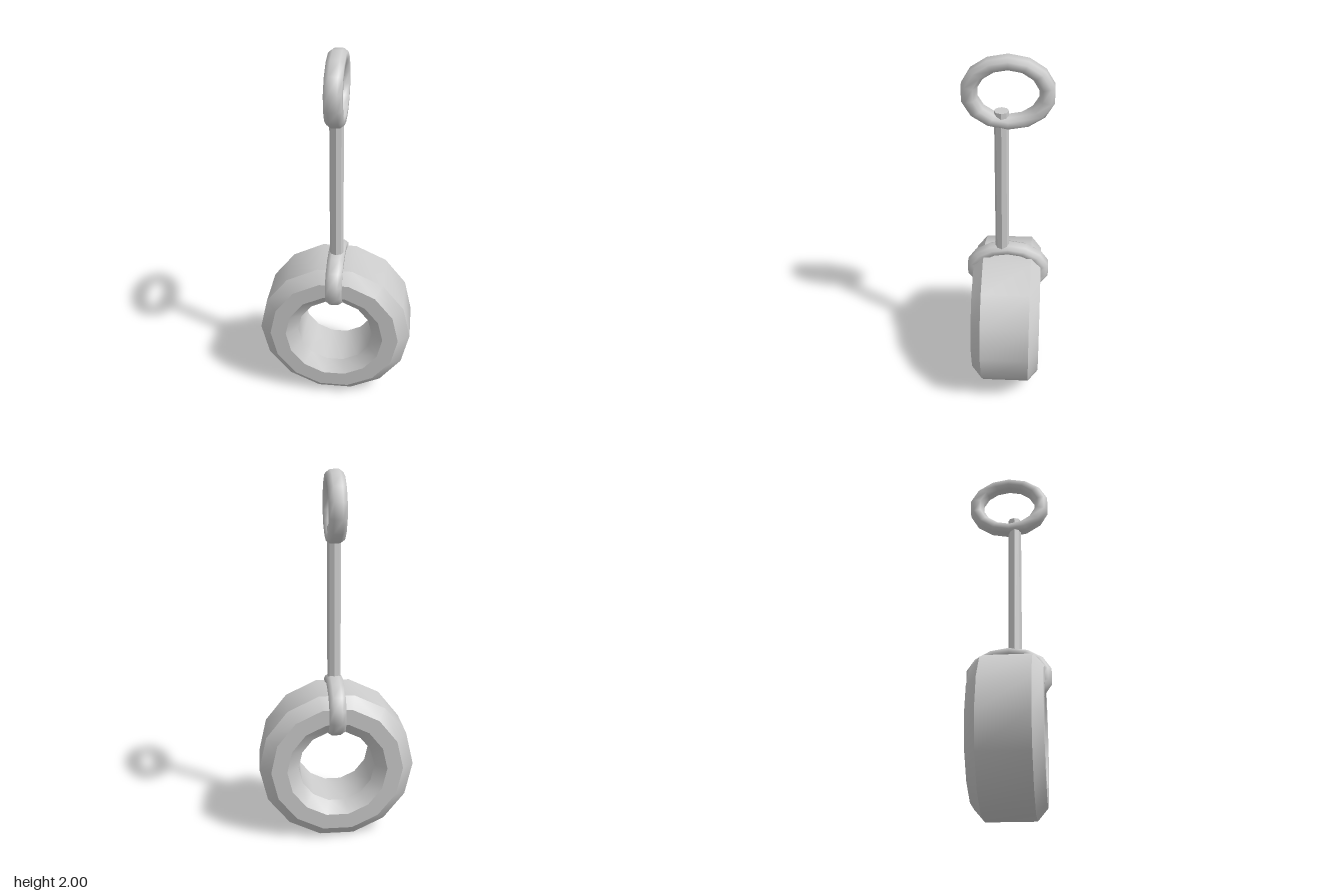
import * as THREE from 'three';
import { toCreasedNormals } from 'three/addons/utils/BufferGeometryUtils.js';

const SIDES = 14;

// Ring around the y axis, revolved from an eight-cornered section.
// r: middle radius, a/b: radial and axial half sizes, fa/fb: half sizes of the flats.
function bevelledRing(r, a, b, fa, fb) {
  const section = [
    [a, -fb], [a, fb], [fa, b], [-fa, b], [-a, fb], [-a, -fb], [-fa, -b], [fa, -b], [a, -fb],
  ].map(([x, y]) => new THREE.Vector2(r + x, y));
  return new THREE.LatheGeometry(section, SIDES, Math.PI / 2);
}

export function createModel() {
  const model = new THREE.Group();
  model.name = 'tireOnRod';
  const material = new THREE.MeshStandardMaterial({ color: 0xcccccc });

  function add(name, geometry, x, y, z) {
    const mesh = new THREE.Mesh(geometry, material);
    mesh.name = name;
    mesh.position.set(x, y, z);
    model.add(mesh);
    return mesh;
  }

  // Tire: smooth around, sharp between its bevels
  const tire = bevelledRing(0.3175, 0.1075, 0.187, 0.0435, 0.132).rotateX(Math.PI / 2);
  add('tire', toCreasedNormals(tire, 0.55), 0, 0.415, 0.003);

  // Flattened rings at the two ends of the rod
  for (const [name, y, halfHeight] of [['upperRing', 1.812, 0.188], ['lowerRing', 0.735, 0.163]]) {
    const ring = bevelledRing(0.192, 0.039, 0.045, 0.02, 0.023).rotateZ(Math.PI / 2);
    ring.scale(1, halfHeight / 0.231, 1);
    add(name, toCreasedNormals(ring, 1.1), 0, y, 0);
  }

  // Rod, poking through the upper ring
  const bottom = 0.88, top = 1.715;
  const rod = new THREE.CylinderGeometry(0.037, 0.037, top - bottom, 8);
  add('rod', toCreasedNormals(rod, 0.5), 0, (bottom + top) / 2, 0.032);

  return model;
}
